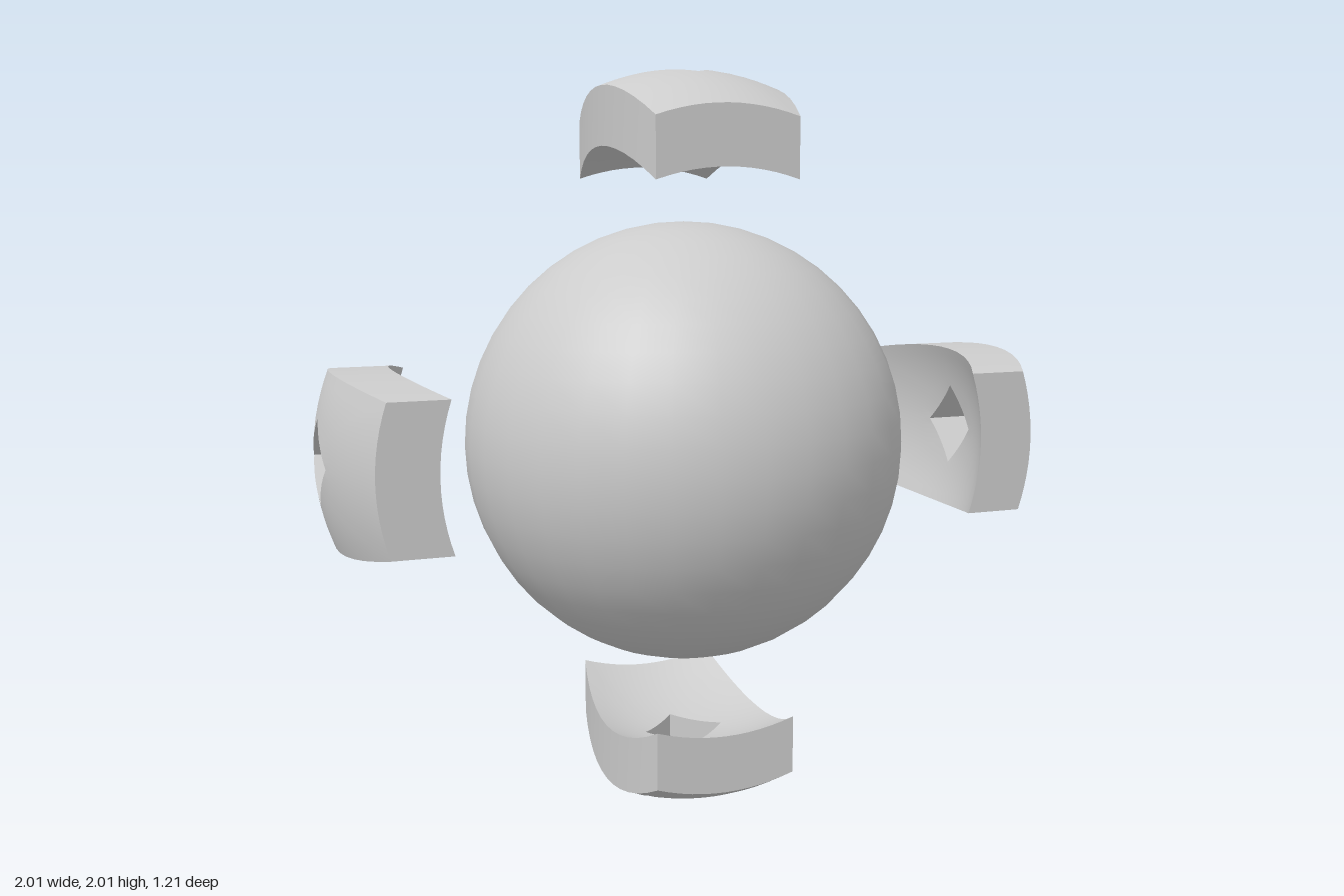
import * as THREE from 'three';
import { toCreasedNormals } from 'three/addons/utils/BufferGeometryUtils.js';

const HALF_Z = 0.335, CORNER_X = 0.195, BULGE = 0.037, HOLE = 0.115, THICK = 0.158;
const STEPS = 12;  // points per quarter of the outline
const RINGS = 5;   // bands between hole and rim

// Quarter outline of the plate: half of the straight end, then half of the bowed side
function rimQuarter(k) {
  const h = STEPS / 2;
  if (k <= h) return [CORNER_X * k / h, HALF_Z];
  const z = HALF_Z * (1 - (k - h) / h);
  return [CORNER_X + BULGE * (1 - (z / HALF_Z) ** 2), z];
}

// Quarter of the diamond hole
function holeQuarter(k) {
  const t = k / STEPS;
  return [HOLE * t, HOLE * (1 - t)];
}

// Mirror a quarter into a full loop, running +z, +x, -z, -x
function fullLoop(quarter) {
  const loop = [];
  for (let k = 0; k < STEPS; k++) loop.push(quarter(k));
  for (let k = STEPS; k > 0; k--) loop.push([quarter(k)[0], -quarter(k)[1]]);
  for (let k = 0; k < STEPS; k++) loop.push([-quarter(k)[0], -quarter(k)[1]]);
  for (let k = STEPS; k > 0; k--) loop.push([-quarter(k)[0], quarter(k)[1]]);
  return loop;
}

// Domed plate with a diamond hole: loops go out over the top and back underneath
function plateGeometry() {
  const rim = fullLoop(rimQuarter), hole = fullLoop(holeQuarter);
  const n = rim.length, loops = 2 * (RINGS + 1);
  const positions = [], index = [];
  for (let i = 0; i < loops; i++) {
    const top = i <= RINGS;
    const t = (top ? i : loops - 1 - i) / RINGS;
    for (let k = 0; k < n; k++) {
      const x = THREE.MathUtils.lerp(hole[k][0], rim[k][0], t);
      const z = THREE.MathUtils.lerp(hole[k][1], rim[k][1], t);
      const y = 1.011 - 0.85 * x * x - 0.9 * z * z - (top ? 0 : THICK);
      positions.push(x, y, z);
    }
  }
  for (let i = 0; i < loops; i++) {
    for (let k = 0; k < n; k++) {
      const i2 = (i + 1) % loops, k2 = (k + 1) % n;
      const a = i * n + k, b = i2 * n + k, c = i2 * n + k2, d = i * n + k2;
      index.push(a, b, d, b, c, d);
    }
  }
  const geometry = new THREE.BufferGeometry();
  geometry.setAttribute('position', new THREE.Float32BufferAttribute(positions, 3));
  geometry.setIndex(index);
  return toCreasedNormals(geometry, 0.6);
}

export function createModel() {
  const model = new THREE.Group();
  model.name = 'orbWithPlates';
  const material = new THREE.MeshStandardMaterial({ color: 0xcccccc });

  // Central sphere
  const sphere = new THREE.Mesh(new THREE.SphereGeometry(0.606, 32, 24), material);
  sphere.name = 'sphere';
  sphere.position.y = 1;
  model.add(sphere);

  // Four floating plates around the sphere
  const geometry = plateGeometry();
  ['topPlate', 'rightPlate', 'bottomPlate', 'leftPlate'].forEach((name, i) => {
    const plate = new THREE.Mesh(geometry, material);
    plate.name = name;
    plate.position.y = 1;
    plate.rotation.z = i * Math.PI / 2;
    model.add(plate);
  });
  return model;
}
